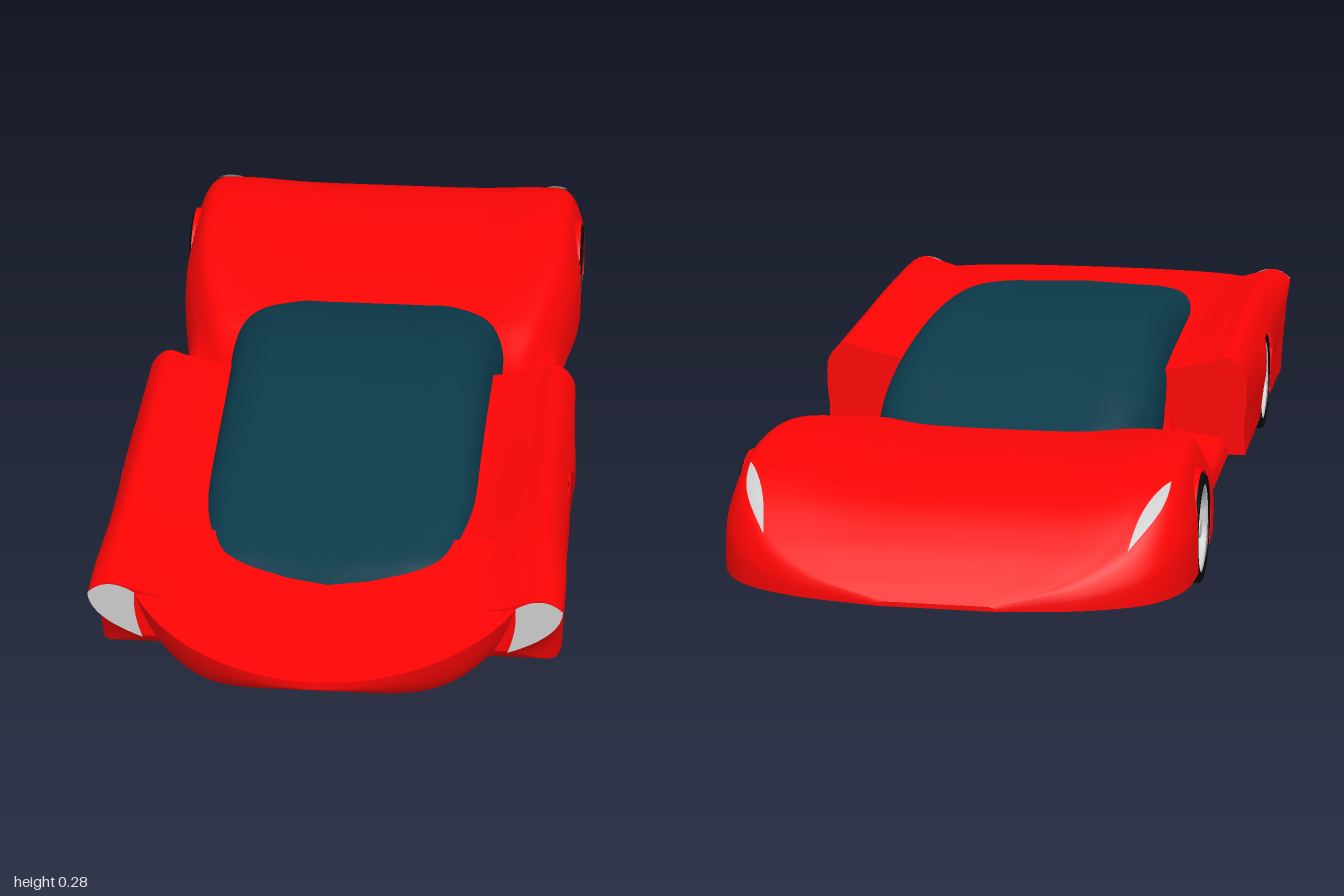
import * as THREE from 'three';
import { toCreasedNormals } from 'three/addons/utils/BufferGeometryUtils.js';

const mat = (color) => new THREE.MeshStandardMaterial({ color, side: THREE.DoubleSide });
const RED = mat(0xfd0404), GLASS = mat(0x0c3a4a), GREY = mat(0xcccccc), BLACK = mat(0x080808);
const V = (x, y, z) => new THREE.Vector3(x, y, z);
const WHEEL_Z = [0.36, -0.65], WHEEL_Y = 0.095, ARCH = 0.101, FLOOR = 0.042;

function mesh(name, geometry, material) {
  const m = new THREE.Mesh(geometry, material);
  m.name = name;
  return m;
}

// Surface through rows of points; keep() may drop triangles
function skin(rows, keep = () => true) {
  const n = rows[0].length, flat = rows.flat(), index = [];
  const add = (a, b, c) => {
    const mid = V(0, 0, 0).add(flat[a]).add(flat[b]).add(flat[c]).divideScalar(3);
    if (keep(mid)) index.push(a, b, c);
  };
  for (let i = 0; i < rows.length - 1; i++) {
    for (let j = 0; j < n - 1; j++) {
      const a = i * n + j, b = a + n;
      add(a, b, a + 1);
      add(b, b + 1, a + 1);
    }
  }
  const g = new THREE.BufferGeometry().setFromPoints(flat);
  g.setIndex(index);
  g.computeVertexNormals();
  return g;
}

// Smooth rows through half cross-sections [z, [[x, y], ...]], mirrored in x
function loftRows(sections, nz, nu) {
  const columns = sections[0][1].map((_, j) =>
    new THREE.CatmullRomCurve3(sections.map(([z, p]) => V(p[j][0], p[j][1], z))));
  const rows = [];
  for (let i = 0; i <= nz; i++) {
    const half = columns.map((c) => c.getPoint(i / nz));
    const left = half.slice(1).reverse().map((p) => V(-p.x, p.y, p.z));
    rows.push(new THREE.CatmullRomCurve3([...left, ...half]).getPoints(nu));
  }
  return rows;
}

// Distance to the nearest wheel centre, seen from the side
const nearestWheel = (p) => WHEEL_Z.map((z) => ({ z, d: Math.hypot(p.z - z, p.y - WHEEL_Y) }))
  .sort((a, b) => a.d - b.d)[0];

// Lofted shell with round wheel arches, flat floor and flat end caps
function bodyPart(name, sections, nz) {
  const group = new THREE.Group();
  group.name = name;
  const rows = loftRows(sections, nz, 150);
  for (const p of rows.flat()) {
    const { z, d } = nearestWheel(p);
    if (Math.abs(p.x) > 0.33 && Math.abs(d - ARCH) < 0.0055) {
      p.z = z + (p.z - z) * ARCH / d;
      p.y = WHEEL_Y + (p.y - WHEEL_Y) * ARCH / d;
    }
  }
  group.add(mesh(name + 'Shell',
    skin(rows, (m) => Math.abs(m.x) < 0.33 || nearestWheel(m).d > ARCH - 0.001), RED));
  // the floor is notched at the wheels
  const floor = rows.map((r) => [r[r.length - 1], r[0]].map((p) => {
    const q = p.clone();
    if (nearestWheel(p).d < ARCH) q.x = Math.sign(p.x) * 0.318;
    return q;
  }));
  group.add(mesh(name + 'Floor', skin(floor), RED));
  for (const row of [rows[0], rows[rows.length - 1]]) {
    const cap = new THREE.ShapeGeometry(new THREE.Shape(row.map((p) => new THREE.Vector2(p.x, p.y))));
    cap.translate(0, 0, row[0].z);
    group.add(mesh(name + 'End', cap, RED));
  }
  return group;
}

function wheel(side, z) {
  const group = new THREE.Group();
  group.name = 'wheel';
  const lathe = (pts) => toCreasedNormals(new THREE.LatheGeometry(
    pts.map(([r, y]) => new THREE.Vector2(r, y)), 48).rotateZ(-Math.PI / 2), 0.5);
  group.add(mesh('tyre', lathe([[0, -0.042], [0.092, -0.042], [0.095, -0.038], [0.095, 0.036],
    [0.091, 0.041], [0.077, 0.041], [0.075, 0.03]]), BLACK));
  group.add(mesh('rim', lathe([[0.077, 0.039], [0.072, 0.037], [0.066, 0.016], [0.018, 0.018],
    [0.016, 0.036], [0, 0.036]]), GREY));
  group.position.set(side * 0.361, WHEEL_Y, z);
  if (side < 0) group.rotation.y = Math.PI;
  return group;
}

export function createModel() {
  const model = new THREE.Group();

  // Front body with raised fenders, open step behind them at z = 0
  const fender = (z, c, s, top, out) => [z, [[0, c], [0.2, c + 0.003], [0.26, s], [0.33, top - 0.01],
    [0.37, top], [0.4, 0.2], [out, 0.15], [out - 0.004, 0.1], [0.402, FLOOR]]];
  model.add(bodyPart('frontBody', [
    fender(0, 0.195, 0.205, 0.23, 0.404),
    fender(0.15, 0.197, 0.205, 0.234, 0.409),
    fender(0.28, 0.198, 0.203, 0.237, 0.413),
    fender(0.42, 0.199, 0.202, 0.24, 0.408),
    fender(0.56, 0.198, 0.204, 0.239, 0.406),
    [0.71, [[0, 0.19], [0.2, 0.196], [0.27, 0.202], [0.335, 0.222], [0.373, 0.229], [0.405, 0.2],
      [0.407, 0.155], [0.402, 0.1], [0.395, 0.046]]],
    [0.805, [[0, 0.178], [0.2, 0.187], [0.28, 0.195], [0.335, 0.21], [0.372, 0.219], [0.405, 0.2],
      [0.4, 0.175], [0.365, 0.137], [0.315, 0.114]]],
  ], 110));

  // Rounded nose with an undercut chin
  const chin = new THREE.CatmullRomCurve3([V(0.6, 0.044, 0), V(0.7, 0.046, 0), V(0.8, 0.06, 0),
    V(0.9, 0.085, 0), V(1, 0.15, 0)]);
  const top = [], under = [];
  for (let i = 0; i <= 40; i++) {
    const t = Math.sin((i / 40) * Math.PI / 2), z = 0.6 + 0.4 * t;
    const w = 0.37 * Math.sqrt(Math.max(0, 1 - t ** 2.2));
    const low = chin.getPoint(t).y, a = [], b = [];
    for (let j = -24; j <= 24; j++) {
      const s = Math.sin((j / 24) * Math.PI / 2), x = w * s;
      const y = 0.165 + (1 - z) * 0.085 + 0.017 * (x / 0.33) ** 2;
      a.push(V(x, y, z));
      b.push(V(-x, low + (y - low) * s ** 8, z));
    }
    top.push(a);
    under.push(b);
  }
  model.add(mesh('noseTop', skin(top), RED), mesh('noseUnderside', skin(under), RED));

  // Waisted rear body, dished between its wheel humps and falling to the tail
  const tail = (z, w, h, dish) => [z, [[0, h - dish], [w * 0.45, h - dish * 0.9], [w * 0.78, h - dish * 0.25],
    [w * 0.91, h - 0.06 * (h - FLOOR)], [w * 0.985, FLOOR + 0.6 * (h - FLOOR)],
    [w, FLOOR + 0.3 * (h - FLOOR)], [w, FLOOR]]];
  model.add(bodyPart('rearBody', [
    [0.02, [[0, 0.13], [0.15, 0.13], [0.242, 0.143], [0.256, 0.12], [0.27, 0.09], [0.36, 0.07], [0.37, FLOOR]]],
    [-0.15, [[0, 0.125], [0.15, 0.125], [0.25, 0.122], [0.277, 0.108], [0.305, 0.085], [0.36, 0.068], [0.37, FLOOR]]],
    [-0.3, [[0, 0.16], [0.15, 0.162], [0.27, 0.17], [0.32, 0.16], [0.349, 0.118], [0.366, 0.08], [0.372, FLOOR]]],
    [-0.48, [[0, 0.19], [0.17, 0.193], [0.3, 0.21], [0.355, 0.21], [0.389, 0.155], [0.398, 0.1], [0.398, FLOOR]]],
    tail(-0.64, 0.403, 0.236, 0.03), tail(-0.77, 0.403, 0.222, 0.022),
    tail(-0.85, 0.39, 0.184, 0.008), tail(-0.92, 0.345, 0.13, 0),
    tail(-0.97, 0.25, 0.083, 0), tail(-1, 0.1, 0.05, 0),
  ], 140));

  // Glass canopy: [z, half width, top, base], front edge drawn back at the sides
  const canopy = loftRows([
    [0.738, 0.175, 0.19, 0.175], [0.69, 0.206, 0.206, 0.175], [0.6, 0.222, 0.224, 0.18], [0.48, 0.236, 0.245, 0.18],
    [0.3, 0.24, 0.27, 0.18], [0.12, 0.244, 0.283, 0.165], [0, 0.25, 0.278, 0.142], [-0.1, 0.258, 0.259, 0.115],
    [-0.2, 0.257, 0.227, 0.1], [-0.29, 0.235, 0.186, 0.1], [-0.36, 0.18, 0.158, 0.1],
  ].map(([z, w, h, b]) => [z, [[0, h], [w * 0.45, h], [w * 0.75, h - 0.015 * (h - b)],
    [w * 0.92, h - 0.22 * (h - b)], [w, b + 0.4 * (h - b)], [w, b]]]), 80, 64);
  for (const p of canopy.flat()) {
    if (p.z > 0) p.z -= 0.24 * Math.abs(p.x) * (p.z / 0.735) ** 5;
  }
  model.add(mesh('canopy', skin(canopy), GLASS));

  // Wheels and arch liners
  for (const side of [1, -1]) {
    for (const z of WHEEL_Z) {
      model.add(wheel(side, z));
      const liner = new THREE.CylinderGeometry(ARCH, ARCH, 0.08, 40, 1, true, -Math.PI / 6, Math.PI * 4 / 3);
      const arch = mesh('archLiner', liner.rotateZ(Math.PI / 2), RED);
      arch.position.set(side * 0.357, WHEEL_Y, z);
      const ring = new THREE.RingGeometry(0.09, ARCH + 0.001, 40, 1, -Math.PI / 6, Math.PI * 4 / 3);
      const lip = mesh('archLip', ring.rotateY(Math.PI / 2), RED);
      lip.position.set(side * 0.385, WHEEL_Y, z);
      model.add(arch, lip);
    }
  }

  // Front lights on the fender ends
  for (const side of [1, -1]) {
    const s = new THREE.Shape();
    s.moveTo(side * 0.313, 0.114);
    s.quadraticCurveTo(side * 0.33, 0.16, side * 0.325, 0.203);
    s.quadraticCurveTo(side * 0.372, 0.235, side * 0.406, 0.2);
    s.quadraticCurveTo(side * 0.405, 0.15, side * 0.313, 0.114);
    const light = mesh('frontLight', new THREE.ShapeGeometry(s, 16), GREY);
    light.position.z = 0.809;
    model.add(light);
  }

  // Rear light slivers draped over the tail
  const shell = model.getObjectByName('rearBodyShell');
  const ray = new THREE.Raycaster();
  for (const side of [1, -1]) {
    const rows = [];
    for (let i = 0; i <= 16; i++) {
      const t = i / 16, bow = Math.sin(Math.PI * t), row = [];
      for (let j = 0; j <= 3; j++) {
        const x = 0.308 + 0.054 * t + bow * (-0.009 + 0.026 * j / 3);
        const z = -0.92 + 0.14 * t;
        ray.set(V(side * x, 1, z), V(0, -1, 0));
        const hit = ray.intersectObject(shell)[0];
        row.push(V(side * x, (hit ? hit.point.y : 0.15) + 0.004, z));
      }
      rows.push(side > 0 ? row : row.reverse());
    }
    model.add(mesh('rearLight', skin(rows), GREY));
  }
  return model;
}
